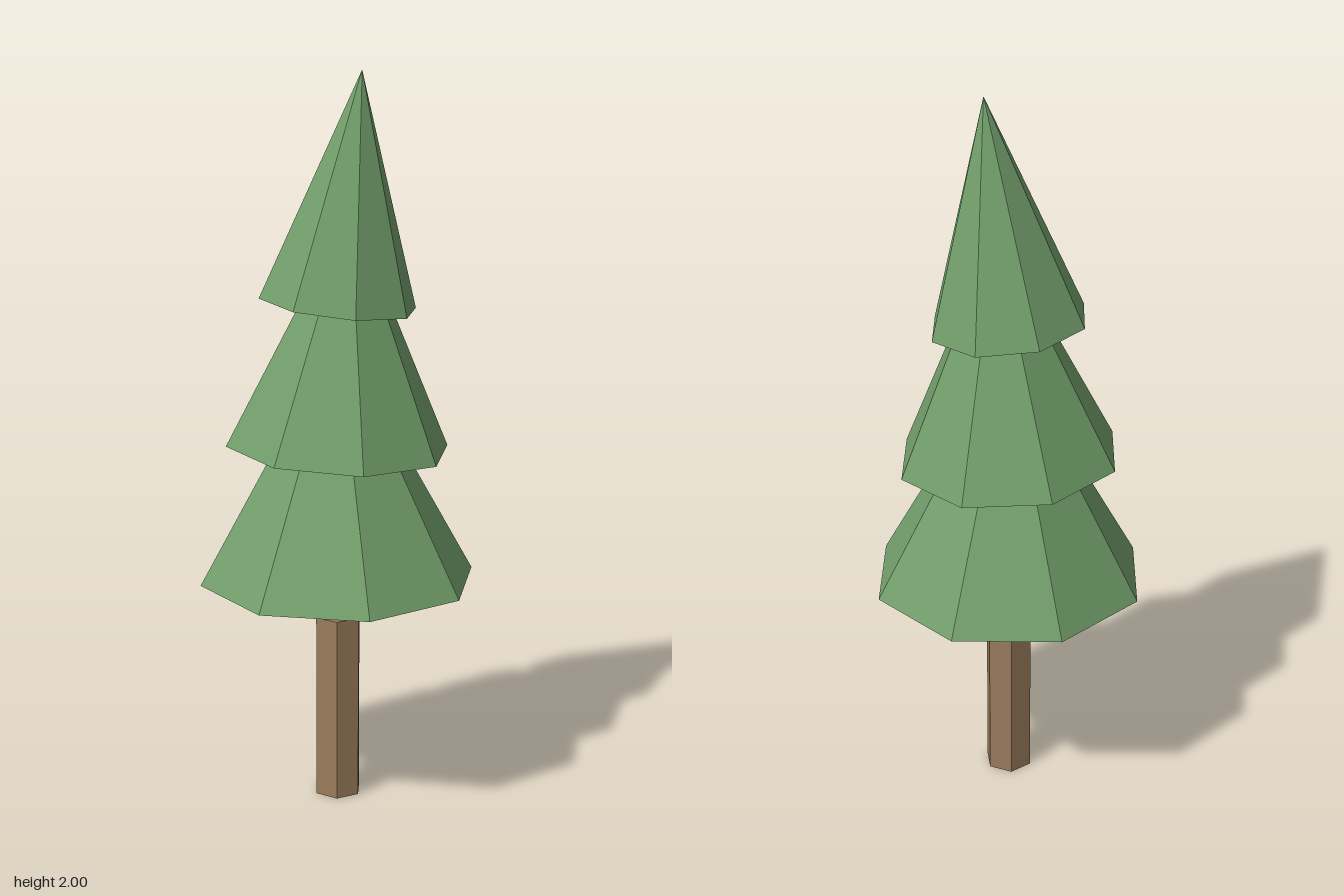
import * as THREE from 'three';

export function createModel() {
  const tree = new THREE.Group();
  tree.name = 'pineTree';

  const foliage = new THREE.MeshStandardMaterial({ color: 0x729e6b, flatShading: true });
  foliage.name = 'foliageGreen';
  const bark = new THREE.MeshStandardMaterial({ color: 0x9a7b5c, flatShading: true });
  bark.name = 'barkBrown';

  // Hexagonal trunk with corners on the x axis
  const trunkHeight = 0.52;
  const trunk = new THREE.Mesh(
    new THREE.CylinderGeometry(0.067, 0.067, trunkHeight, 6).rotateY(Math.PI / 6), bark);
  trunk.name = 'trunk';
  trunk.position.y = trunkHeight / 2;
  tree.add(trunk);

  // Eight-sided tiers, each leaning a little more than the one below
  const tiers = [
    { name: 'lowerTier', radius: 0.38, height: 0.68, base: 0.63 },
    { name: 'middleTier', radius: 0.306, height: 0.65, base: 1.0 },
    { name: 'upperTier', radius: 0.214, height: 0.613, base: 1.39 },
  ];
  tiers.forEach(({ name, radius, height, base }, i) => {
    // Pivot at the centre of the base
    const geometry = new THREE.ConeGeometry(radius, height, 8).translate(0, height / 2, 0);
    const tier = new THREE.Mesh(geometry, foliage);
    tier.name = name;
    tier.position.y = base;
    tier.rotation.set(-0.024 * i, 0, -0.045 * i);
    tree.add(tier);
  });

  return tree;
}
